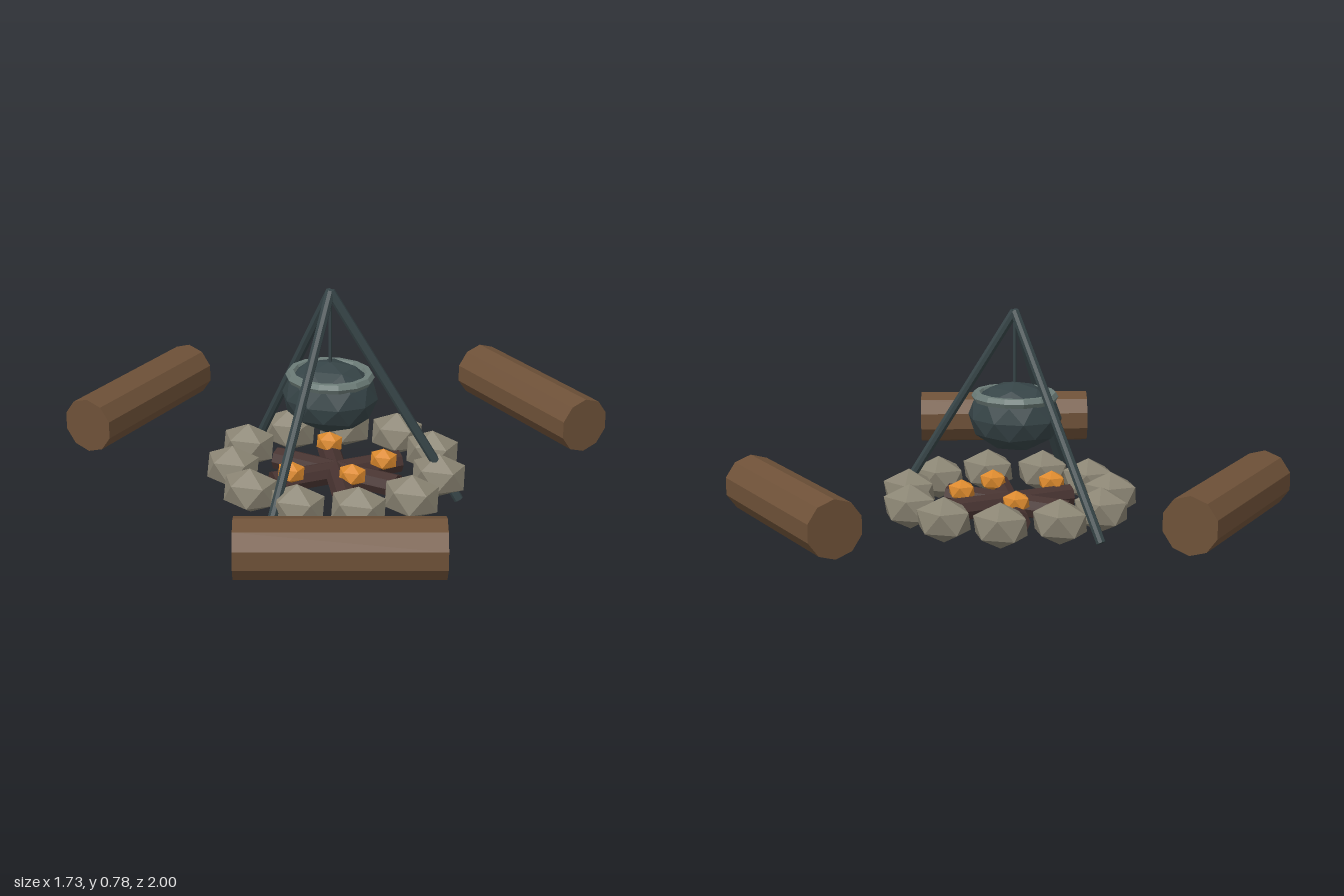
import * as THREE from 'three';

const mat = (name, color) => {
  const m = new THREE.MeshStandardMaterial({ color });
  m.name = name;
  return m;
};

// Faceted normals for the low-poly look
const flat = (geo) => {
  const g = geo.index ? geo.toNonIndexed() : geo;
  g.computeVertexNormals();
  return g;
};

// Icosphere standing on a vertex, scaled to an ellipsoid
const ico = (rx, ry, rz, detail = 0) =>
  flat(new THREE.IcosahedronGeometry(1, detail)
    .rotateZ(Math.atan(2 / (1 + Math.sqrt(5)))).scale(rx, ry, rz));

// Cylinder lying along z
const log = (r, length, sides) =>
  flat(new THREE.CylinderGeometry(r, r, length, sides).rotateX(Math.PI / 2));

export function createModel() {
  const model = new THREE.Group();
  model.name = 'campfire';
  const bark = mat('barkBrown', 0x6e5138);
  const charred = mat('charredWood', 0x46322f);
  const stone = mat('stoneGrey', 0x8a8473);
  const iron = mat('darkIron', 0x364447);
  const rimMetal = mat('wornRim', 0x6b7b77);
  const ember = mat('emberOrange', 0xdb892d);

  // Everything is arranged round the fire, slightly off the middle
  const fire = new THREE.Group();
  fire.name = 'fireArrangement';
  fire.position.x = 0.085;
  model.add(fire);

  const add = (name, geo, material, x = 0, y = 0, z = 0, turn = 0) => {
    const m = new THREE.Mesh(geo, material);
    m.name = name;
    m.position.set(x, y, z);
    m.rotation.y = turn;
    fire.add(m);
    return m;
  };

  // Rod between two points
  const rod = (name, a, b, r, sides) => {
    const d = b.clone().sub(a);
    const m = add(name, flat(new THREE.CylinderGeometry(r, r, d.length(), sides)), iron);
    m.position.copy(a).add(b).multiplyScalar(0.5);
    m.quaternion.setFromUnitVectors(new THREE.Vector3(0, 1, 0), d.normalize());
  };

  // Three seat logs, tangent to a circle
  const seat = log(0.102, 0.675, 10);
  for (const a of [Math.PI, Math.PI / 3, -Math.PI / 3]) {
    add('seatLog', seat, bark, 0.86 * Math.cos(a), 0.19, 0.86 * Math.sin(a), -a);
  }

  // Ring of stones
  const rock = ico(0.112, 0.083, 0.091);
  for (let i = 0; i < 11; i++) {
    const a = Math.PI + (i / 11) * Math.PI * 2;
    add('ringStone', rock, stone, 0.375 * Math.cos(a), 0.0925, 0.375 * Math.sin(a));
  }

  // Crossed firewood
  const wood = log(0.043, 0.5, 8);
  for (const deg of [90, 37, -37]) {
    add('firewood', wood, charred, 0, 0.065, 0, THREE.MathUtils.degToRad(deg));
  }

  // Glowing embers
  const coal = ico(0.056, 0.042, 0.047);
  for (const [x, z] of [[-0.1, -0.125], [0.148, -0.085], [-0.085, 0.178], [0.115, 0.09]]) {
    add('ember', coal, ember, x, 0.115, z);
  }

  // Tripod and hanging chain
  const apex = new THREE.Vector3(0, 0.768, 0.05);
  for (const [x, z] of [[0, 0.48], [-0.435, -0.12], [0.435, -0.12]]) {
    rod('tripodLeg', new THREE.Vector3(x, 0.009, z), apex, 0.0175, 8);
  }
  rod('chain', new THREE.Vector3(0, 0.45, 0.05), apex, 0.006, 6);

  // Pot with its rim
  add('pot', ico(0.176, 0.1275, 0.155, 1), iron, 0, 0.3825, 0.05);
  const rim = new THREE.TorusGeometry(0.142, 0.019, 6, 14).rotateX(Math.PI / 2).scale(1, 1, 0.92);
  add('potRim', flat(rim), rimMetal, 0, 0.457, 0.05);

  return model;
}
